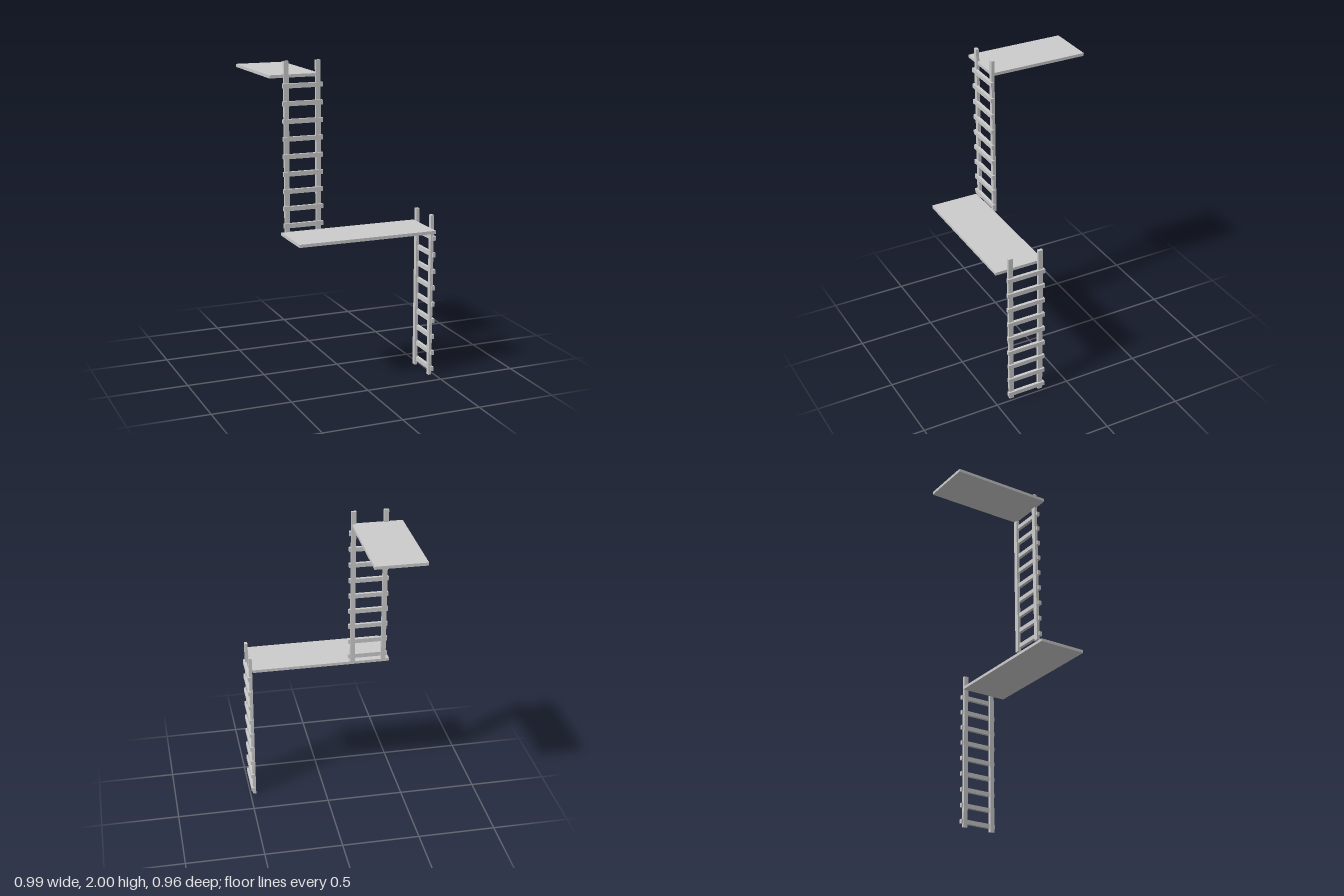
import * as THREE from 'three';

const material = new THREE.MeshStandardMaterial({ color: 0xcccccc, flatShading: true });

function box(name, w, h, d, x, y, z) {
  const mesh = new THREE.Mesh(new THREE.BoxGeometry(w, h, d), material);
  mesh.name = name;
  mesh.position.set(x, y, z);
  return mesh;
}

// Ladder standing on y = 0, with its rungs nailed on the +z side of the rails
function createLadder(name) {
  const ladder = new THREE.Group();
  ladder.name = name;
  const height = 1.04;
  for (const side of [-1, 1]) {
    ladder.add(box(side < 0 ? 'rightRail' : 'leftRail', 0.03, height, 0.02, side * 0.1015, height / 2, 0));
  }
  for (let i = 0; i < 9; i++) {
    ladder.add(box('rung', 0.254, 0.028, 0.02, 0, 0.04 + i * 0.1066, 0.0105));
  }
  return ladder;
}

export function createModel() {
  const model = new THREE.Group();
  model.name = 'ladderPlatforms';

  // Platforms
  model.add(box('lowerPlatform', 0.892, 0.019, 0.318, 0.014, 0.9505, 0.317));
  model.add(box('upperPlatform', 0.318, 0.019, 0.638, -0.336, 1.9105, -0.161));

  // Lower ladder, turned so its rungs face +x
  const lowerLadder = createLadder('lowerLadder');
  lowerLadder.rotation.y = Math.PI / 2;
  lowerLadder.position.set(0.472, 0, 0.285);
  model.add(lowerLadder);

  // Upper ladder, standing at the lower platform's back edge
  const upperLadder = createLadder('upperLadder');
  upperLadder.position.set(-0.289, 0.96, 0.154);
  model.add(upperLadder);

  return model;
}
